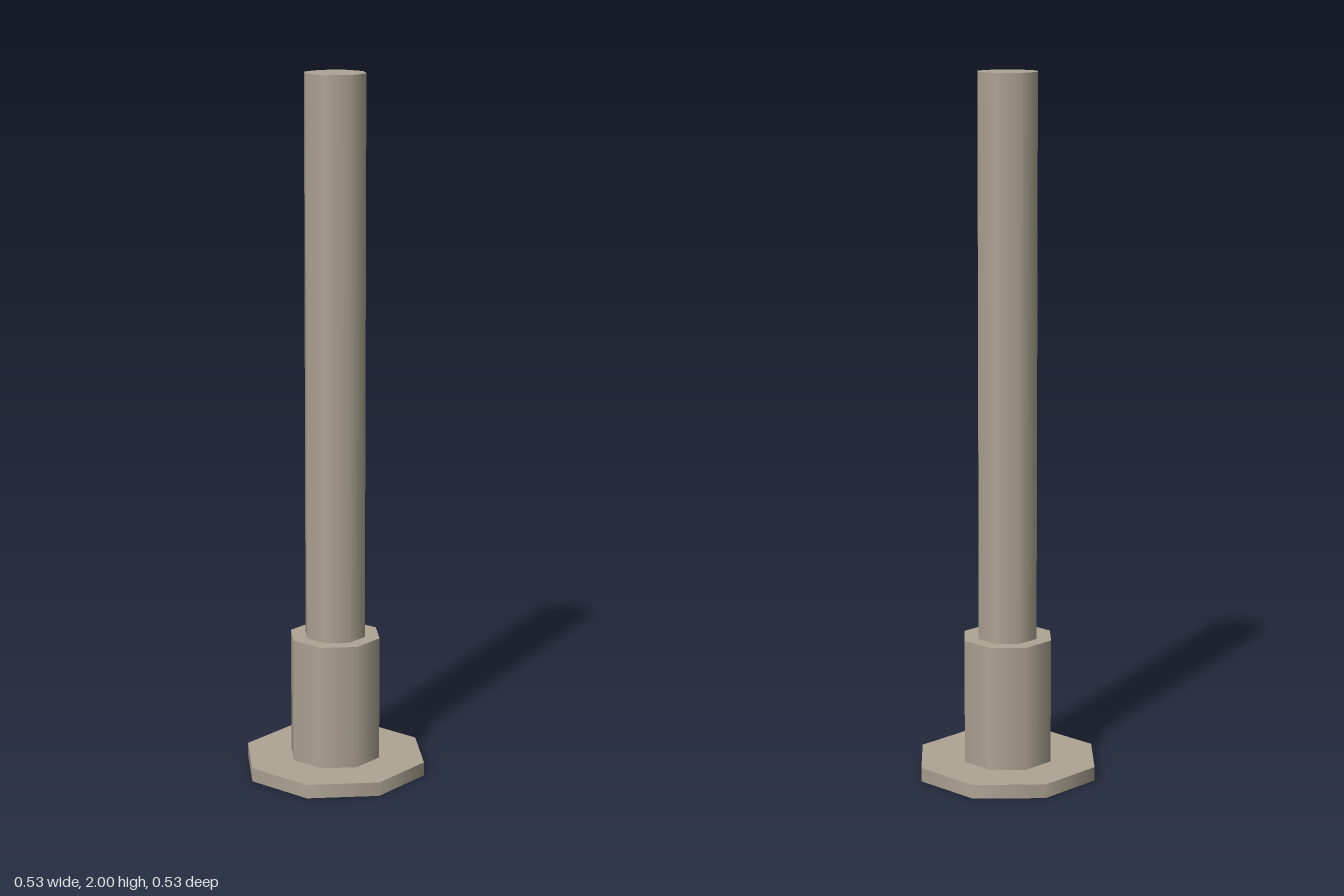
import * as THREE from 'three';

const SIDES = 8;

export function createModel() {
  const model = new THREE.Group();
  model.name = 'postWithFlange';

  const stone = new THREE.MeshStandardMaterial({ color: 0xaea594 });
  stone.name = 'warmGrey';
  const dark = new THREE.MeshStandardMaterial({ color: 0x2b2b2b });
  dark.name = 'darkSocket';

  // Smooth-sided octagonal prism standing between two heights
  function addPrism(name, radius, bottom, top) {
    const geometry = new THREE.CylinderGeometry(radius, radius, top - bottom, SIDES);
    const mesh = new THREE.Mesh(geometry, stone);
    mesh.name = name;
    mesh.position.y = (bottom + top) / 2;
    model.add(mesh);
  }

  addPrism('baseFlange', 0.267, 0, 0.04);
  addPrism('collar', 0.133, 0.04, 0.4);
  addPrism('shaft', 0.089, 0.4, 2);

  // Dark octagon on the underside of the flange
  const socket = new THREE.Mesh(new THREE.CircleGeometry(0.133, SIDES), dark);
  socket.name = 'undersideSocket';
  socket.rotation.x = Math.PI / 2;
  socket.position.y = -0.001;
  model.add(socket);

  return model;
}
